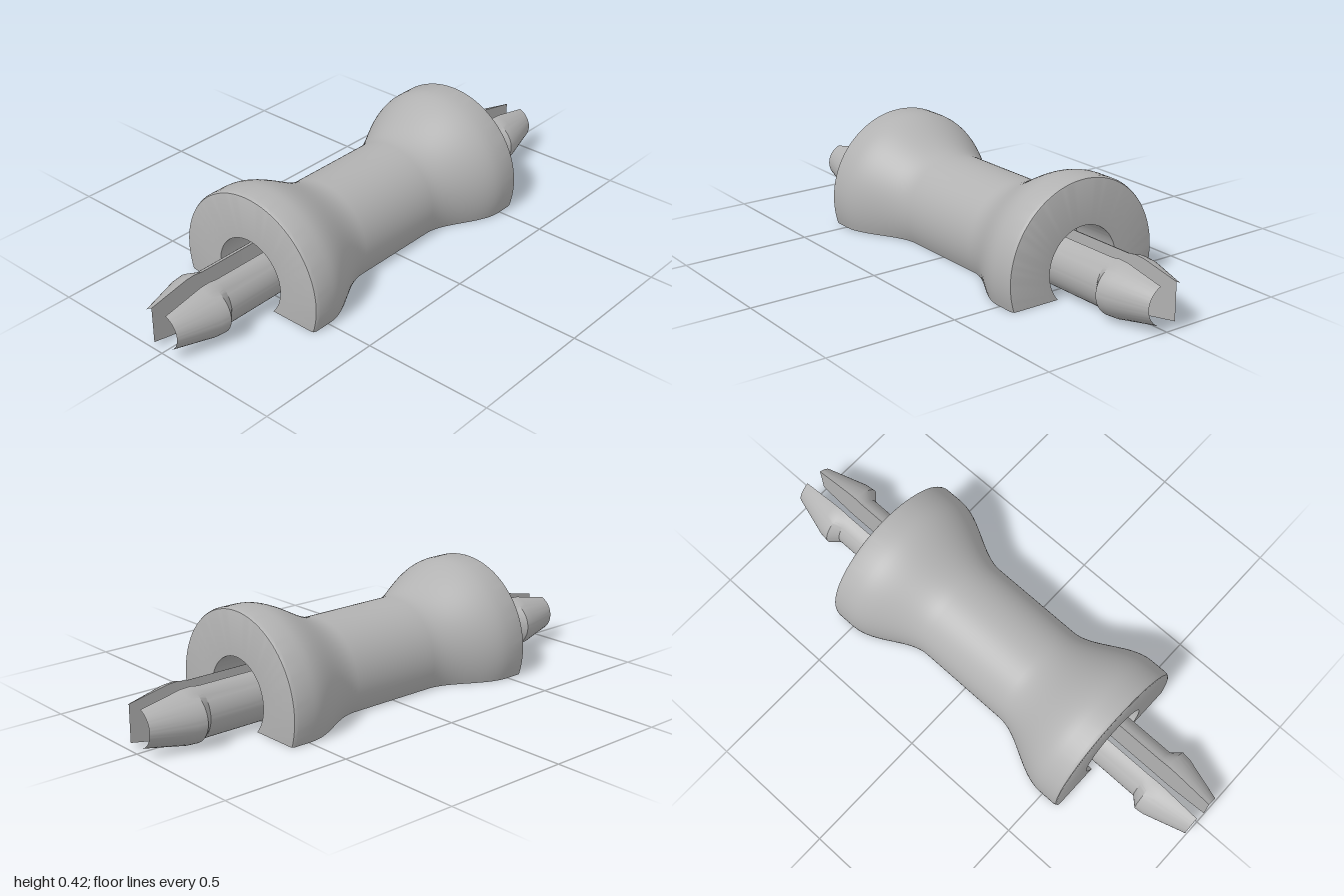
import * as THREE from 'three';
import { toCreasedNormals } from 'three/addons/utils/BufferGeometryUtils.js';

const AXIS_Y = 0.1;   // height of the long axis above the cut base
const FLOOR_X = 0.37; // depth of the end sockets
const GAP = 0.035;    // half-width of the slot between prongs

// Skin equal-length rings of points; caps close the first or last ring.
function loft(rings, { closed = false, capEnd = false, flip = false } = {}) {
  const n = rings[0].length, pos = rings.flat(2), index = [];
  const tri = (a, b, c) => (flip ? index.push(a, c, b) : index.push(a, b, c));
  for (let i = 0; i < rings.length - 1; i++) {
    for (let j = 0; j < (closed ? n : n - 1); j++) {
      const k = (j + 1) % n, a = i * n, b = a + n;
      tri(a + j, b + j, b + k);
      tri(a + j, b + k, a + k);
    }
  }
  const last = (rings.length - 1) * n;
  if (capEnd) for (let j = 1; j < n - 1; j++) tri(last, last + j, last + j + 1);
  const g = new THREE.BufferGeometry();
  g.setAttribute('position', new THREE.Float32BufferAttribute(pos, 3));
  g.setIndex(index);
  return toCreasedNormals(g, 0.5);
}

// Half profile [x, radius] from the waist to the socket centre
function bodyProfile() {
  const half = [];
  for (let i = 0; i <= 16; i++) {
    const s = i / 16;
    half.push([0.19 + 0.3 * s, 0.216 + 0.108 * s * s * (3 - 2 * s)]);
  }
  half.push([0.56, 0.324], [0.567, 0.322], [0.572, 0.319], [0.574, 0.314],
    [0.574, 0.15], [FLOOR_X, 0.15], [FLOOR_X, AXIS_Y], [FLOOR_X, 0]);
  return [...half.map(([x, r]) => [-x, r]).reverse(), ...half];
}

// Ring around the x axis, trimmed where it would pass below y = 0
function trimmedRing([x, r]) {
  const low = r > AXIS_Y ? -Math.asin(AXIS_Y / r) : -Math.PI / 2;
  return Array.from({ length: 65 }, (_, j) => {
    const t = low + (Math.PI - 2 * low) * j / 64;
    return [x, AXIS_Y + r * Math.sin(t), r * Math.cos(t)];
  });
}

// Flat underside, following the body where it meets y = 0
function undersideGeometry(profile) {
  const side = profile.filter(([, r]) => r >= AXIS_Y)
    .map(([x, r]) => [x, Math.sqrt(Math.max(0, r * r - AXIS_Y * AXIS_Y))]);
  const back = side.slice(1, -1).reverse().map(([x, z]) => [x, -z]);
  const shape = new THREE.Shape([...side, ...back].map(p => new THREE.Vector2(...p)));
  return new THREE.ShapeGeometry(shape).rotateX(Math.PI / 2);
}

// One half of a split barbed pin; sx and sz choose the end and the side
function prongGeometry(sx, sz) {
  const rows = []; // x, half-width in z, half-height in y, slot half-width
  for (let i = 0; i <= 8; i++) { // rounded slot root
    const a = Math.PI / 2 * i / 8;
    rows.push([FLOOR_X + GAP * (1 - Math.cos(a)), 0.105, 0.105, GAP * Math.sin(a)]);
  }
  rows.push([0.765, 0.105, 0.105, GAP], [0.8, 0.139, 0.108, GAP],
    [0.84, 0.134, 0.106, GAP], [1, 0.085, 0.077, GAP]);
  const rings = rows.map(([x, a, b, gap]) => {
    const end = Math.acos(gap / a);
    return Array.from({ length: 33 }, (_, j) => {
      const t = -end + 2 * end * j / 32;
      return [sx * x, Math.max(0, AXIS_Y + b * Math.sin(t)), sz * a * Math.cos(t)];
    });
  });
  return loft(rings, { closed: true, capEnd: true, flip: sx * sz < 0 });
}

export function createModel() {
  const model = new THREE.Group();
  const grey = new THREE.MeshStandardMaterial({ color: 0xb2b2b2 });
  grey.name = 'grey';
  const add = (name, geometry) => {
    const mesh = new THREE.Mesh(geometry, grey);
    mesh.name = name;
    model.add(mesh);
  };

  // Waisted spool with a socket in each end
  const profile = bodyProfile();
  add('body', loft(profile.map(trimmedRing)));
  add('underside', undersideGeometry(profile));

  // Two prongs at each end
  for (const sx of [1, -1]) {
    for (const sz of [1, -1]) {
      add(`${sx > 0 ? 'left' : 'right'}${sz > 0 ? 'Front' : 'Back'}Prong`, prongGeometry(sx, sz));
    }
  }
  return model;
}
